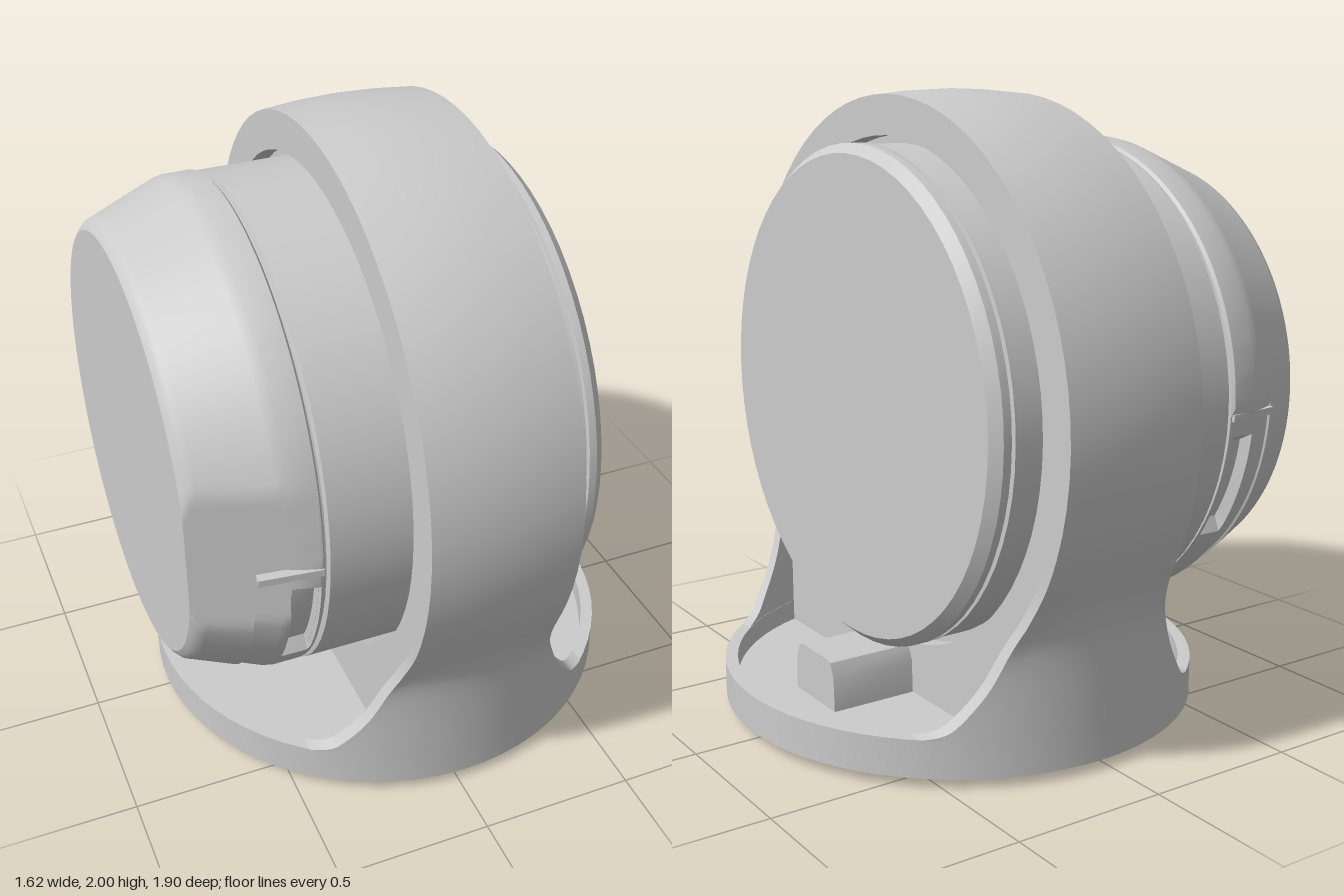
import * as THREE from 'three';
import { toCreasedNormals } from 'three/addons/utils/BufferGeometryUtils.js';

const AXIS_Y = 1.05; // height of the drum's horizontal axis
const RING_X = 0.05, RING_HALF = 0.24;
const BASE_X = 0.03;

const material = new THREE.MeshStandardMaterial({ color: 0xcccccc, side: THREE.DoubleSide });

function addMesh(group, name, geometry, crease = 0.5) {
  const mesh = new THREE.Mesh(toCreasedNormals(geometry, crease), material);
  mesh.name = name;
  group.add(mesh);
  return mesh;
}

const lathe = (points, segments) =>
  new THREE.LatheGeometry(points.map(([r, h]) => new THREE.Vector2(r, h)), segments);

// Turned part on the x axis; profile points are [radius, x]
const turnX = (points, segments) =>
  lathe(points, segments).rotateZ(-Math.PI / 2).translate(0, AXIS_Y, 0);

// Shape drawn in the side plane, extruded along x
const extrudeX = (shape, x0, x1) =>
  new THREE.ExtrudeGeometry(shape, { depth: x1 - x0, bevelEnabled: false, curveSegments: 48 })
    .rotateY(Math.PI / 2).translate(x0, 0, 0);

// Rear cap: tapered, with a flat on the front, side slots and a finger dimple
function capGeometry() {
  const outline = [[0.68, -0.8], [0.695, -0.785], [0.785, -0.56], [0.79, -0.535], [0.79, -0.455], [0.78, -0.447]];
  const cuts = [-0.642, -0.638, -0.543, -0.537, -0.463, -0.457];
  const xs = [...outline.map((p) => p[1]), ...cuts];
  for (let i = 1; i < 14; i++) xs.push(-0.785 + i * 0.0165);
  xs.sort((a, b) => a - b);
  const radiusAt = (x) => {
    let k = 0;
    while (k < outline.length - 2 && x > outline[k + 1][1]) k++;
    const [a, b] = [outline[k], outline[k + 1]];
    return THREE.MathUtils.lerp(a[0], b[0], (x - a[1]) / (b[1] - a[1]));
  };
  const profile = [[0, -0.81], [0.665, -0.81], ...xs.map((x) => [radiusAt(x), x]), [0, -0.447]];
  const geo = turnX(profile, 160);
  const pos = geo.attributes.position;
  for (let i = 0; i < pos.count; i++) {
    const x = pos.getX(i), dy = pos.getY(i) - AXIS_Y, dz = pos.getZ(i);
    const r = Math.hypot(dy, dz);
    if (r < 0.5) continue;
    const deg = THREE.MathUtils.radToDeg(Math.atan2(dy, Math.abs(dz)));
    let cut = 0;
    if (x > -0.64 && x < -0.45 && deg < -1.5 && deg > -62) cut = 0.008;
    if (x > -0.54 && x < -0.46 && deg < -8 && deg > -32) cut = 0.05;
    if (dz > 0) cut += 0.035 * Math.max(0, 1 - ((x + 0.69) / 0.09) ** 2 - ((deg + 74) / 9) ** 2);
    const k = (r - cut) / r;
    const flat = 0.645 + (x + 0.81) * 0.41;
    pos.setXYZ(i, x, AXIS_Y + dy * k, Math.min(dz * k, flat));
  }
  return geo;
}

// Flared leg: a thin wall that blends the round base into the ring
function legGeometry(side) {
  const curve = new THREE.SplineCurve([
    [0.5, 0.15], [0.45, 0.165], [0.41, 0.2], [0.34, 0.3], [0.295, 0.4],
    [0.26, 0.5], [0.243, 0.6], [0.24, 0.7],
  ].map(([w, y]) => new THREE.Vector2(w, y)));
  const rows = curve.getPoints(28), cols = 20;
  const depthAt = (x, y, inset) => {
    const a = Math.sqrt((0.78 - inset) ** 2 - (x - BASE_X) ** 2);
    const crown = 0.95 - 0.015 * Math.min(1, ((x - RING_X) / RING_HALF) ** 2);
    const b = Math.sqrt(Math.max(0, crown ** 2 - (y - AXIS_Y) ** 2)) - inset;
    const soft = 0.05 * THREE.MathUtils.clamp((0.7 - y) / 0.2, 0, 1);
    return (a + b + Math.hypot(a - b, soft)) / 2;
  };
  const positions = [], index = [], loop = 2 * (cols + 1);
  for (const { x: half, y } of rows) {
    for (let i = 0; i < loop; i++) {
      const outer = i <= cols;
      const t = (outer ? i : loop - 1 - i) / cols;
      const x = RING_X + half * (2 * t - 1);
      positions.push(x, y, side * depthAt(x, y, outer ? 0 : 0.04));
    }
  }
  for (let j = 0; j < rows.length - 1; j++) {
    for (let i = 0; i < loop; i++) {
      const a = j * loop + i, b = j * loop + (i + 1) % loop, c = b + loop, d = a + loop;
      if (side > 0) index.push(a, b, c, a, c, d);
      else index.push(a, c, b, a, d, c);
    }
  }
  const geo = new THREE.BufferGeometry();
  geo.setAttribute('position', new THREE.Float32BufferAttribute(positions, 3));
  geo.setIndex(index);
  return geo;
}

export function createModel() {
  const model = new THREE.Group();
  model.name = 'drumOnStand';

  // Round base with foot pad and recessed tray
  addMesh(model, 'base', lathe([
    [0, 0], [0.5, 0], [0.5, 0.03], [0.78, 0.03], [0.78, 0.15], [0.74, 0.15], [0.74, 0.08], [0, 0.08],
  ], 72).translate(BASE_X, 0, 0));

  // Crowned ring holding the drum
  addMesh(model, 'ring', turnX([
    [0.78, -0.13], [0.81, -0.13], [0.81, -0.19], [0.935, -0.19], [0.946, -0.07], [0.95, 0.05],
    [0.946, 0.17], [0.935, 0.29], [0.81, 0.29], [0.81, 0.23], [0.78, 0.23], [0.78, -0.13],
  ], 72));

  // Solid web between the ring and the base
  const web = new THREE.Shape();
  web.moveTo(-0.72, 0.07);
  [[0.72, 0.07], [0.72, 0.4], [0.735, 0.5], [0.8, 0.62]].forEach(([z, y]) => web.lineTo(z, y));
  const start = Math.atan2(-0.43, 0.687);
  web.absarc(0, AXIS_Y, 0.81, start, -Math.PI - start, true);
  [[-0.8, 0.62], [-0.735, 0.5], [-0.72, 0.4]].forEach(([z, y]) => web.lineTo(z, y));
  web.closePath();
  addMesh(model, 'web', extrudeX(web, RING_X - RING_HALF, RING_X + RING_HALF));

  addMesh(model, 'frontLeg', legGeometry(1));
  addMesh(model, 'backLeg', legGeometry(-1));

  // Small block on the tray in front of the web
  const block = new THREE.Shape([
    [-0.125, 0.07], [0.125, 0.07], [0.12, 0.19], [0.1, 0.235], [0.08, 0.242],
    [-0.08, 0.242], [-0.1, 0.235], [-0.12, 0.19],
  ].map(([z, y]) => new THREE.Vector2(z, y)));
  addMesh(model, 'trayBlock', extrudeX(block, 0.27, 0.58));

  // Drum with an end bezel and narrow grooves
  addMesh(model, 'drum', turnX([
    [0, -0.46], [0.765, -0.46], [0.765, -0.437], [0.785, -0.432], [0.785, 0.358], [0.79, 0.36],
    [0.79, 0.368], [0.775, 0.37], [0.775, 0.382], [0.79, 0.384], [0.79, 0.408], [0.76, 0.44], [0, 0.44],
  ], 64));

  addMesh(model, 'rearCap', capGeometry());

  // Lip above each side slot of the cap
  for (const side of [1, -1]) {
    const lip = addMesh(model, 'slotLip', new THREE.BoxGeometry(0.19, 0.022, 0.03));
    lip.position.set(-0.545, 1.02, side * 0.765);
    lip.rotation.y = side * -0.12;
  }
  return model;
}
